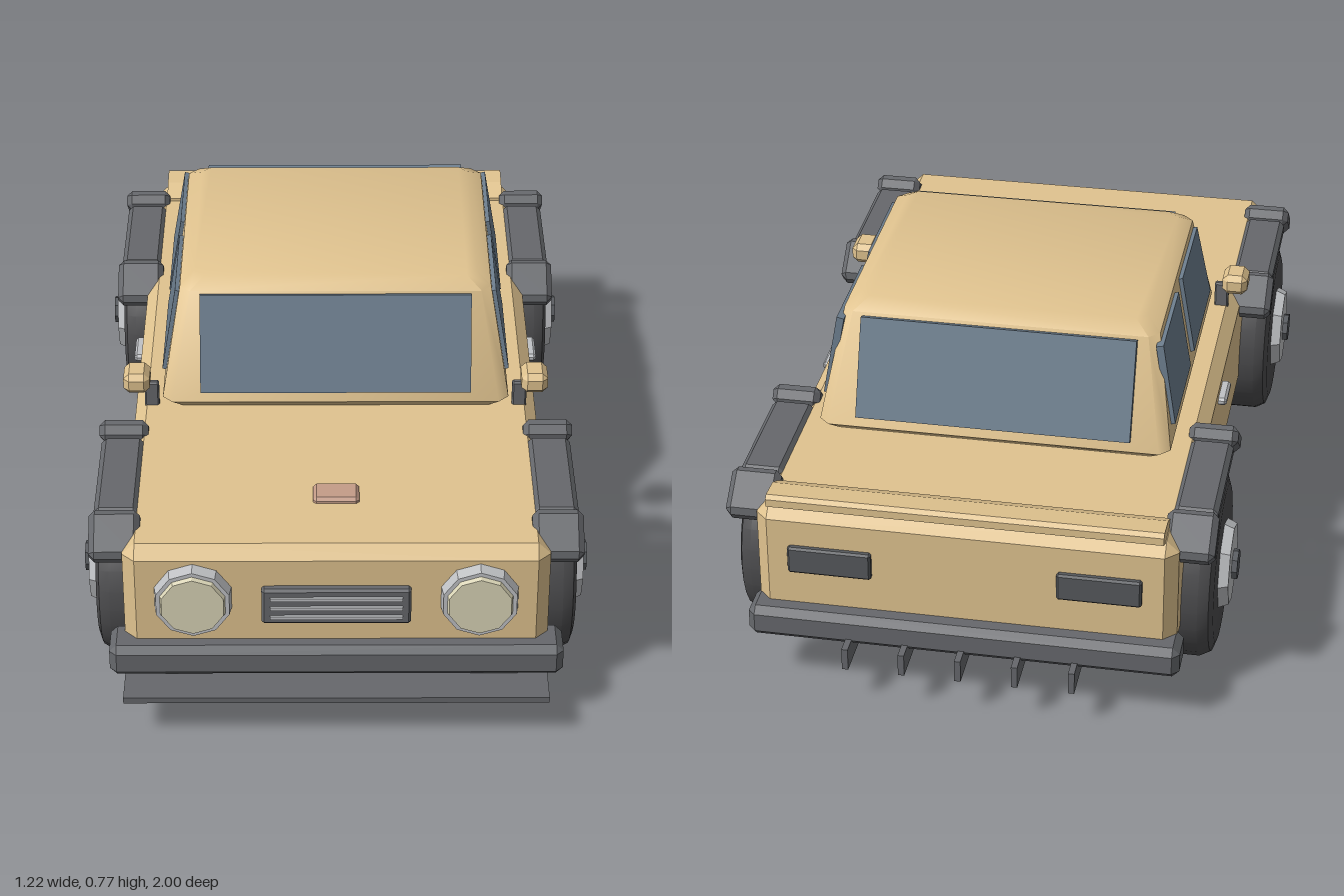
import * as THREE from 'three';
import { toCreasedNormals } from 'three/addons/utils/BufferGeometryUtils.js';
import { ConvexGeometry } from 'three/addons/geometries/ConvexGeometry.js';

const mat = (color) => new THREE.MeshStandardMaterial({ color, flatShading: true });
const paint = mat(0xe0c38f), trim = mat(0x66686c), rubber = mat(0x4c4c4e), metal = mat(0xc0c2c5);
const glass = mat(0x6c7d8d), lens = mat(0xdad4b6), badge = mat(0xc49c88), dark = mat(0x55585c);
const smoothPaint = new THREE.MeshStandardMaterial({ color: 0xe0c38f });
const smoothRubber = new THREE.MeshStandardMaterial({ color: 0x4c4c4e });
const V = (x, y, z) => new THREE.Vector3(x, y, z);

// Box with every edge cut at 45 degrees
function chamferBox(w, h, d, b) {
  const pts = [];
  for (const x of [-w / 2, w / 2]) for (const y of [-h / 2, h / 2]) for (const z of [-d / 2, d / 2]) {
    const ix = x - Math.sign(x) * b, iy = y - Math.sign(y) * b, iz = z - Math.sign(z) * b;
    pts.push(V(x, iy, iz), V(ix, y, iz), V(ix, iy, z));
  }
  return new ConvexGeometry(pts);
}

// Thin solid pane through four corners, pushed out along an offset
function pane(corners, offset) {
  return new ConvexGeometry(corners.flatMap((p) => [p.clone().sub(offset), p.clone().add(offset)]));
}

export function createModel() {
  const root = new THREE.Group();
  const add = (name, geo, material, x = 0, y = 0, z = 0, parent = root) => {
    const m = new THREE.Mesh(geo, material);
    m.name = name;
    m.position.set(x, y, z);
    parent.add(m);
    return m;
  };

  // Lower body
  add('body', chamferBox(1, 0.3, 1.8, 0.03), paint, 0, 0.315, -0.01);

  // Cabin: stacked cut-corner sections [y, half width, front z, back z]
  const cabinPts = [];
  for (const [y, w, f, b] of [[0.46, 0.4, 0.26, -0.52], [0.49, 0.43, 0.29, -0.555],
    [0.75, 0.385, 0.19, -0.45], [0.775, 0.35, 0.155, -0.41]]) {
    const c = 0.025;
    for (const s of [-1, 1]) {
      cabinPts.push(V(s * w, y, f - c), V(s * (w - c), y, f), V(s * w, y, b + c), V(s * (w - c), y, b));
    }
  }
  add('cabin', toCreasedNormals(new ConvexGeometry(cabinPts), 0.75), smoothPaint);

  // Windscreen and rear window
  for (const [name, zLow, zHigh, s] of [['windscreen', 0.283, 0.197, 1], ['rearWindow', -0.55, -0.462, -1]]) {
    add(name, pane([V(-0.335, 0.515, zLow), V(0.335, 0.515, zLow), V(0.335, 0.745, zHigh), V(-0.335, 0.745, zHigh)],
      V(0, 0.004, s * 0.011)), glass);
  }

  // Side windows
  for (const s of [-1, 1]) {
    for (const [name, f0, f1, b0, b1] of [['frontSideWindow', 0.2, 0.16, -0.12, -0.12],
      ['rearSideWindow', -0.19, -0.19, -0.475, -0.46]]) {
      add(name, pane([V(s * 0.424, 0.53, f0), V(s * 0.424, 0.53, b0), V(s * 0.389, 0.733, b1), V(s * 0.389, 0.733, f1)],
        V(s * 0.009, 0.002, 0)), glass);
    }
  }

  // Wheels: rounded tyre, eight-sided hub and cap
  const tyreGeo = toCreasedNormals(new THREE.LatheGeometry([[0, -0.124], [0.19, -0.124], [0.215, -0.115],
    [0.228, -0.09], [0.228, 0.09], [0.215, 0.115], [0.19, 0.124], [0, 0.124]]
    .map(([r, y]) => new THREE.Vector2(r, y)), 28), 0.5);
  const hubGeo = new THREE.CylinderGeometry(0.1, 0.113, 0.03, 8);
  const capGeo = new THREE.CylinderGeometry(0.037, 0.037, 0.025, 8);
  for (const s of [-1, 1]) for (const z of [0.578, -0.598]) {
    const wheel = new THREE.Group();
    wheel.name = z > 0 ? 'frontWheel' : 'rearWheel';
    wheel.position.set(s * 0.449, 0.23, z);
    wheel.rotation.z = -s * Math.PI / 2;
    root.add(wheel);
    add('tyre', tyreGeo, smoothRubber, 0, 0, 0, wheel);
    add('hub', hubGeo, metal, 0, 0.133, 0, wheel);
    add('hubCap', capGeo, dark, 0, 0.149, 0, wheel);

    // Fender: flat middle with a sloped piece at each end
    const fender = new THREE.Group();
    fender.name = 'fender';
    fender.position.set(s * 0.52, 0.452, z);
    root.add(fender);
    add('fenderTop', chamferBox(0.105, 0.045, 0.32, 0.012), trim, 0, 0, 0.002, fender);
    for (const e of [-1, 1]) {
      add('fenderEnd', chamferBox(0.12, 0.053, 0.12, 0.014), trim, 0, -0.009, e * 0.222, fender).rotation.x = e * 0.68;
    }
  }

  // Bumpers and front lip
  add('frontBumper', chamferBox(1.07, 0.083, 0.11, 0.017), trim, 0, 0.17, 0.878);
  add('rearBumper', chamferBox(1.03, 0.08, 0.105, 0.017), trim, 0, 0.17, -0.905);
  add('frontLip', new THREE.BoxGeometry(1, 0.015, 0.15), trim, 0, 0.113, 0.925);

  // Fins under the rear bumper
  for (let i = -2; i <= 2; i++) {
    add('rearFin', new THREE.BoxGeometry(0.015, 0.056, 0.15), trim, i * 0.135, 0.122, -0.925);
  }

  // Headlights, tail lights, mirrors and door handles
  for (const s of [-1, 1]) {
    add('headlightRing', new THREE.CylinderGeometry(0.09, 0.098, 0.05, 10), metal, s * 0.335, 0.332, 0.895)
      .rotation.x = Math.PI / 2;
    add('headlightLens', new THREE.CylinderGeometry(0.076, 0.084, 0.02, 10), lens, s * 0.335, 0.332, 0.92)
      .rotation.x = Math.PI / 2;
    add('tailLight', chamferBox(0.2, 0.07, 0.025, 0.005), dark, s * 0.32, 0.335, -0.912);
    add('mirror', chamferBox(0.065, 0.054, 0.083, 0.014), paint, s * 0.493, 0.54, 0.255);
    add('mirrorStalk', chamferBox(0.036, 0.075, 0.018, 0.004), trim, s * 0.457, 0.492, 0.255);
    add('doorHandle', chamferBox(0.03, 0.02, 0.097, 0.006), metal, s * 0.506, 0.405, -0.098);
  }

  // Grille with three slats
  add('grille', chamferBox(0.35, 0.098, 0.035, 0.006), trim, 0, 0.316, 0.892);
  for (let i = -1; i <= 1; i++) {
    add('grilleSlat', new THREE.BoxGeometry(0.31, 0.008, 0.012), metal, 0, 0.316 + i * 0.026, 0.911);
  }

  // Hood badge and tail spoiler
  add('hoodBadge', chamferBox(0.11, 0.024, 0.072, 0.008), badge, 0, 0.467, 0.663);
  const spoilerPts = [];
  for (const x of [-0.468, 0.468]) {
    for (const [y, z] of [[0.46, -0.795], [0.472, -0.795], [0.497, -0.845], [0.502, -0.905],
      [0.493, -0.915], [0.474, -0.915], [0.46, -0.88]]) spoilerPts.push(V(x, y, z));
  }
  add('spoiler', new ConvexGeometry(spoilerPts), paint);

  return root;
}
